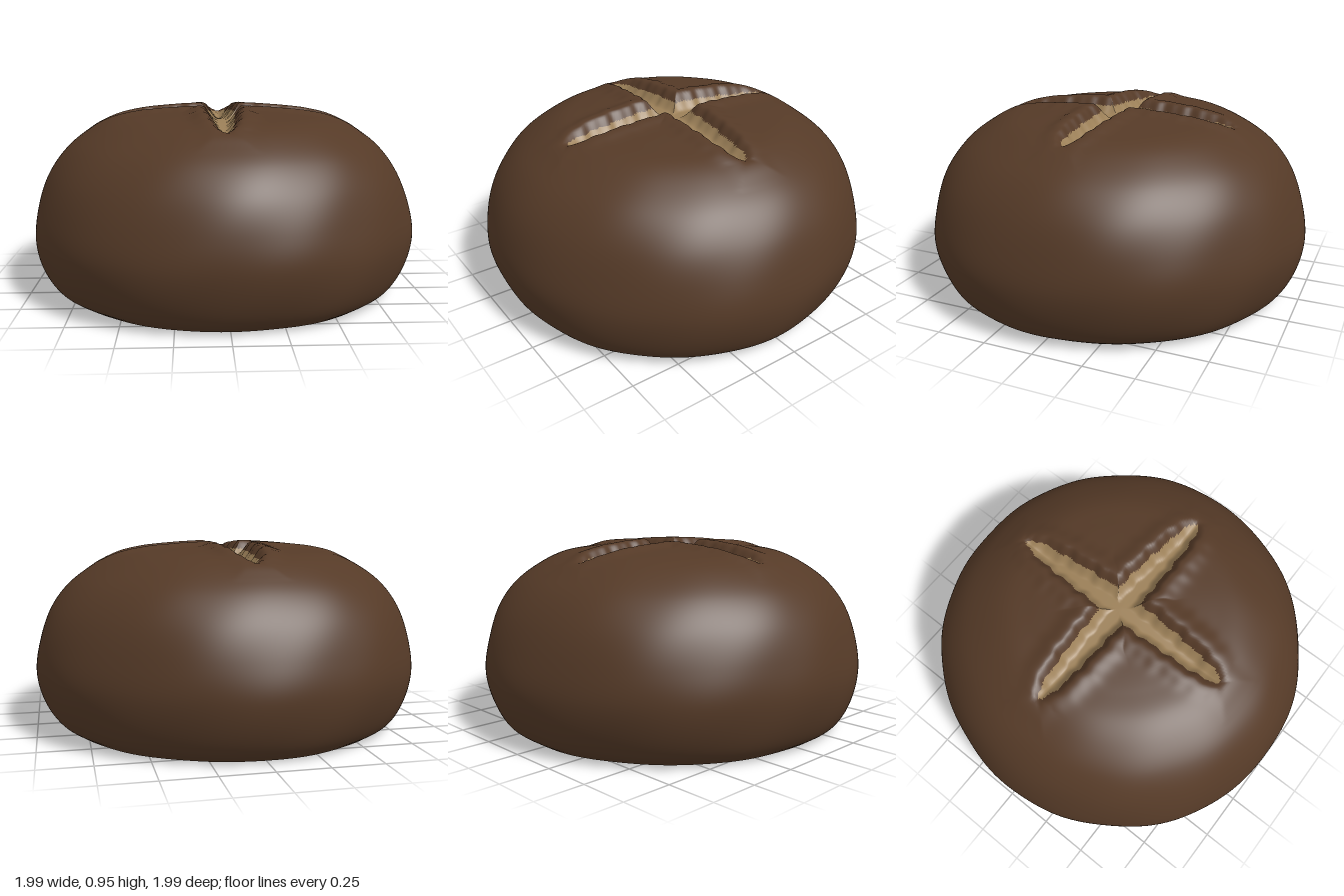
import * as THREE from 'three';

const SEGMENTS = 360;
const ARM = 0.605; // length of each cut arm

// distance outside the edge of one scored arm (negative inside)
function armEdge(along, across) {
  const t = Math.abs(along);
  const taper = Math.sqrt(Math.max(0, 1 - Math.pow(t / ARM, 8)));
  const ragged = 0.004 * Math.sin(along * 47) + 0.003 * Math.sin(along * 83 + 1);
  const half = (0.073 - 0.055 * t + ragged) * taper;
  return Math.max(Math.abs(across) - half, t - ARM);
}

// the nearer of the two crossing cuts
const cutEdge = (x, z) => Math.min(armEdge(x, z - 0.035 * x), armEdge(z, x + 0.01));

// groove with softly raised lips, as a height offset
function scoring(x, z) {
  const s = cutEdge(x, z);
  const fade = 1 - THREE.MathUtils.smoothstep(Math.hypot(x, z), 0.42, 0.66);
  const groove = -0.075 * (1 - THREE.MathUtils.smoothstep(s, -0.045, 0.04));
  const lip = 0.018 * Math.exp(-Math.pow((s - 0.055) / 0.05, 2));
  return groove * (0.35 + 0.65 * fade) + lip * (0.3 + 0.7 * fade);
}

// smooth hand-shaped unevenness of the dough
function lumps(a, y) {
  return 1 + 0.005 * Math.sin(3 * a + 4 * y) + 0.003 * Math.sin(7 * a - 6 * y + 1)
    + 0.002 * Math.sin(13 * a + 11 * y);
}

// grid of rings about the y axis; split decides which quads are cut surface
function ringSurface(profile, place, split) {
  const positions = [];
  const crust = [], cut = [];
  profile.forEach((p, i) => {
    for (let j = 0; j < SEGMENTS; j++) {
      positions.push(...place(p.x, p.y, (j / SEGMENTS) * Math.PI * 2, i));
    }
  });
  const at = (i, j) => (profile[i].x < 1e-5 ? i * SEGMENTS : i * SEGMENTS + (j % SEGMENTS));
  for (let i = 0; i < profile.length - 1; i++) {
    for (let j = 0; j < SEGMENTS; j++) {
      const a = at(i, j), b = at(i, j + 1), c = at(i + 1, j), d = at(i + 1, j + 1);
      for (const tri of [[a, b, c], [b, d, c]]) {
        if (new Set(tri).size < 3) continue;
        const x = tri.reduce((sum, v) => sum + positions[v * 3], 0) / 3;
        const z = tri.reduce((sum, v) => sum + positions[v * 3 + 2], 0) / 3;
        (split(x, z, i) ? cut : crust).push(...tri);
      }
    }
  }
  const geometry = new THREE.BufferGeometry();
  geometry.setAttribute('position', new THREE.Float32BufferAttribute(positions, 3));
  geometry.setIndex([...crust, ...cut]);
  geometry.addGroup(0, crust.length, 0);
  geometry.addGroup(crust.length, cut.length, 1);
  geometry.computeVertexNormals();
  return geometry;
}

export function createModel() {
  const crustBrown = new THREE.MeshStandardMaterial({ color: 0x553a27 });
  crustBrown.name = 'crustBrown';
  const crumbTan = new THREE.MeshStandardMaterial({ color: 0x9c8058 });
  crumbTan.name = 'crumbTan';

  const loaf = new THREE.Group();
  loaf.name = 'loaf';

  // domed loaf, from the crown down to the base edge
  const outline = [
    [0, 0.937], [0.15, 0.932], [0.3, 0.922], [0.45, 0.906], [0.58, 0.882], [0.7, 0.825],
    [0.82, 0.735], [0.91, 0.615], [0.97, 0.46], [0.995, 0.3], [0.965, 0.15], [0.91, 0.05], [0.84, 0],
  ].map(([r, y]) => new THREE.Vector3(r, y, 0));
  const profile = new THREE.CatmullRomCurve3(outline, false, 'centripetal').getSpacedPoints(135);

  const place = (r, y, a) => {
    const radius = r * lumps(a, y);
    const x = radius * Math.cos(a), z = radius * Math.sin(a);
    const offset = r < 0.75 ? scoring(x, z) : 0;
    return [x, y + offset, z];
  };
  const body = new THREE.Mesh(
    ringSurface(profile, place, (x, z, i) => profile[i].y > 0.8 && cutEdge(x, z) < 0),
    [crustBrown, crumbTan],
  );
  body.name = 'scoredCrust';
  loaf.add(body);

  // flat underside sharing the base outline
  const base = new THREE.Mesh(
    ringSurface([new THREE.Vector2(0.84, 0), new THREE.Vector2(0, 0)], place2, () => false),
    [crustBrown, crumbTan],
  );
  base.name = 'flatBase';
  loaf.add(base);

  return loaf;
}

// base points follow the same uneven outline, kept at ground level
function place2(r, y, a) {
  const radius = r * lumps(a, 0);
  return [radius * Math.cos(a), 0, radius * Math.sin(a)];
}
